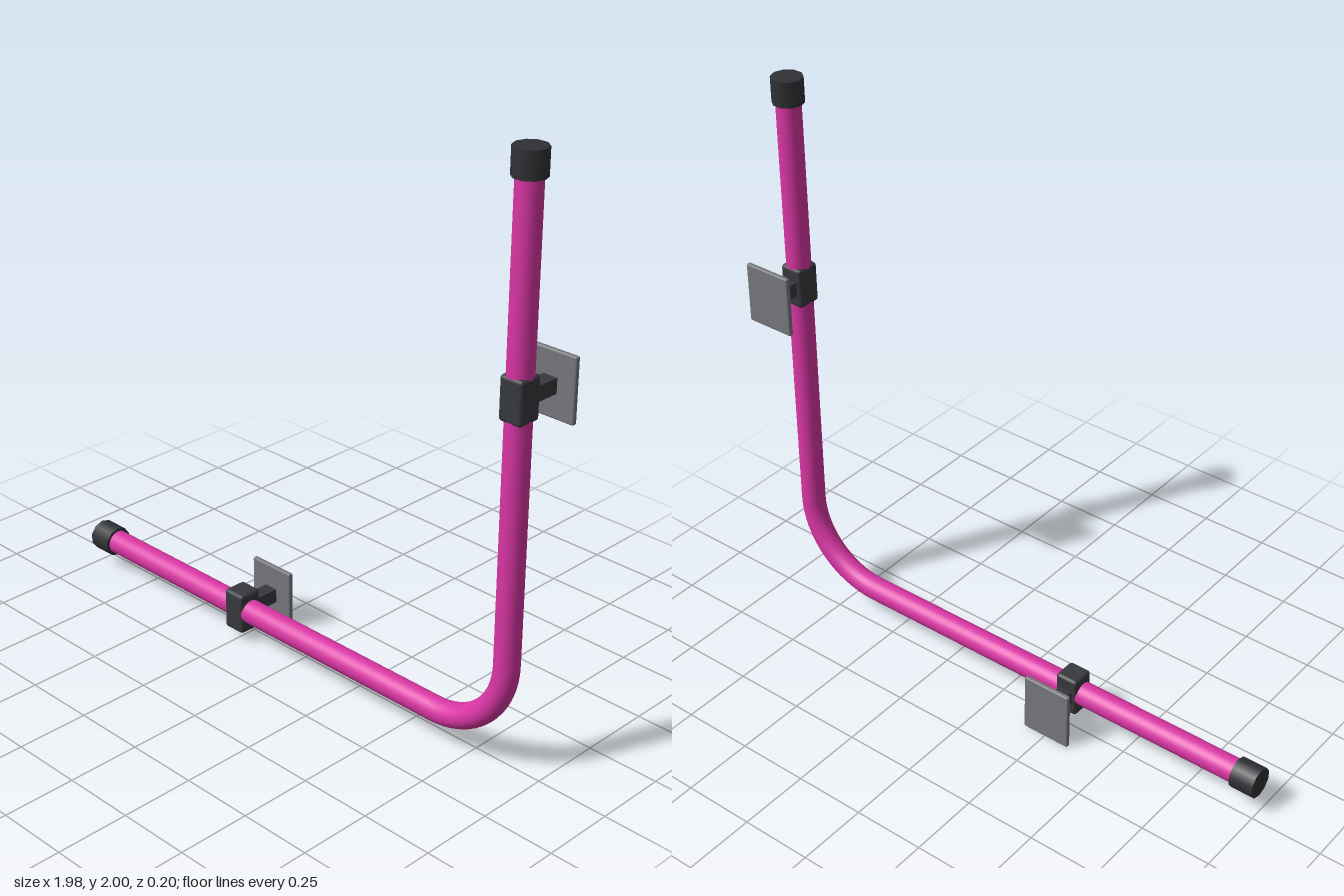
import * as THREE from 'three';
import { RoundedBoxGeometry } from 'three/addons/geometries/RoundedBoxGeometry.js';

const material = (name, color) => {
  const m = new THREE.MeshStandardMaterial({ color });
  m.name = name;
  return m;
};

export function createModel() {
  const pink = material('pink pipe', 0xd936a4);
  const black = material('black cap', 0x303135);
  const dark = material('dark clamp', 0x38393e);
  const grey = material('grey plate', 0x77787d);

  const model = new THREE.Group();
  model.name = 'bentPipe';
  const add = (parent, name, geometry, mat, x = 0, y = 0, z = 0) => {
    const mesh = new THREE.Mesh(geometry, mat);
    mesh.name = name;
    mesh.position.set(x, y, z);
    parent.add(mesh);
    return mesh;
  };

  const pipeX = 0.897, pipeY = 0.112, pipeZ = 0.051;
  const bend = 0.28, k = bend * 0.5523;
  const v = (x, y) => new THREE.Vector3(x, y, pipeZ);

  // Pipe: horizontal run, quarter-circle bend, vertical run
  const startBend = v(pipeX - bend, pipeY), endBend = v(pipeX, pipeY + bend);
  const path = new THREE.CurvePath();
  path.add(new THREE.LineCurve3(v(-0.97, pipeY), startBend));
  path.add(new THREE.CubicBezierCurve3(
    startBend, v(pipeX - bend + k, pipeY), v(pipeX, pipeY + bend - k), endBend));
  path.add(new THREE.LineCurve3(endBend, v(pipeX, 1.98)));
  add(model, 'pipe', new THREE.TubeGeometry(path, 128, 0.0415, 24), pink);

  // End caps, ten-sided
  const capGeometry = new THREE.CylinderGeometry(0.053, 0.053, 0.086, 10);
  capGeometry.rotateY(Math.PI / 2);
  add(model, 'topCap', capGeometry, black, pipeX, 1.957, pipeZ);
  add(model, 'sideCap', capGeometry, black, -0.947, pipeY, pipeZ).rotation.z = Math.PI / 2;

  // Wall brackets: clamp around the pipe, stem and back plate
  const clampGeometry = new RoundedBoxGeometry(0.084, 0.144, 0.086, 2, 0.012);
  const stemGeometry = new THREE.BoxGeometry(0.05, 0.05, 0.12);
  const plateGeometry = new RoundedBoxGeometry(0.178, 0.213, 0.018, 2, 0.006);
  for (const [name, x, y] of [['lowerBracket', -0.254, 0.1105], ['upperBracket', pipeX, 1.265]]) {
    const bracket = new THREE.Group();
    bracket.name = name;
    bracket.position.set(x, y, 0);
    add(bracket, 'clamp', clampGeometry, dark, 0, 0, pipeZ);
    add(bracket, 'stem', stemGeometry, dark, 0, 0, -0.028);
    add(bracket, 'backPlate', plateGeometry, grey, 0, 0, -0.093);
    model.add(bracket);
  }
  return model;
}
